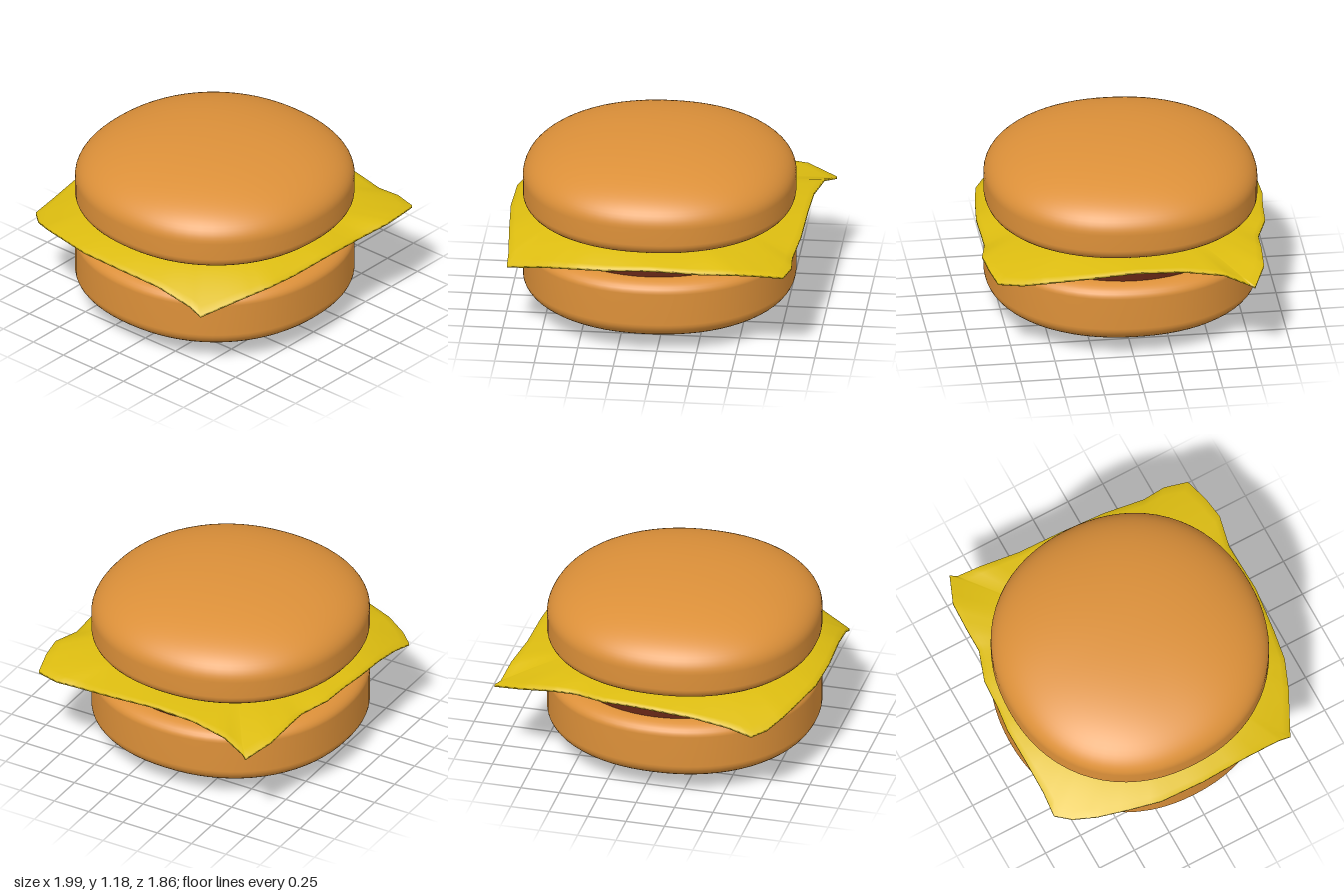
import * as THREE from 'three';
import { mergeVertices } from 'three/addons/utils/BufferGeometryUtils.js';

const CX = -0.06, CZ = -0.02; // common axis of buns and patty
const RADIUS = 0.86;

const paint = (color, side = THREE.FrontSide) => {
  const m = new THREE.MeshStandardMaterial({ side });
  m.color.set(color);
  return m;
};

// Quarter superellipse from angle a0 to a1 around (cx, cy)
function arc(cx, cy, rx, ry, a0, a1, n, power = 2) {
  const pts = [];
  for (let i = 0; i <= n; i++) {
    const a = a0 + (a1 - a0) * i / n, c = Math.cos(a), s = Math.sin(a);
    pts.push(new THREE.Vector2(
      Math.max(0, cx + rx * Math.pow(Math.abs(c), 2 / power)),
      cy + ry * Math.sign(s) * Math.pow(Math.abs(s), 2 / power)));
  }
  return pts;
}

// Revolved bun, pushed slightly towards a rounded square
function bun(name, profile) {
  let geo = new THREE.LatheGeometry(profile, 72);
  const p = geo.attributes.position, n = 2.15;
  for (let i = 0; i < p.count; i++) {
    const x = p.getX(i), z = p.getZ(i), r = Math.hypot(x, z);
    if (r < 1e-5) continue;
    const k = Math.pow(Math.abs(x / r) ** n + Math.abs(z / r) ** n, -1 / n);
    p.setX(i, x * k);
    p.setZ(i, z * k);
  }
  geo.deleteAttribute('uv');
  geo.deleteAttribute('normal');
  geo = mergeVertices(geo);
  geo.computeVertexNormals();
  const mesh = new THREE.Mesh(geo, paint(0xdc9039));
  mesh.name = name;
  mesh.position.set(CX, 0, CZ);
  return mesh;
}

// Cheese rim: x, z and height of the edge, once around
const RIM = [
  [-0.73, -0.93, 0.55], [-0.57, -0.92, 0.59], [-0.35, -0.925, 0.63], [-0.12, -0.93, 0.65],
  [0.05, -0.91, 0.65], [0.24, -0.9, 0.65], [0.44, -0.83, 0.64], [0.6, -0.83, 0.64],
  [0.8, -0.82, 0.62], [0.99, -0.74, 0.57], [0.96, -0.7, 0.58], [0.93, -0.55, 0.64],
  [0.89, -0.3, 0.66], [0.88, 0, 0.665], [0.87, 0.3, 0.64], [0.84, 0.57, 0.61],
  [0.85, 0.72, 0.61], [0.81, 0.87, 0.61], [0.65, 0.91, 0.635], [0.5, 0.93, 0.645],
  [0.3, 0.89, 0.62], [-0.03, 0.9, 0.635], [-0.32, 0.87, 0.61], [-0.52, 0.84, 0.6],
  [-0.7, 0.77, 0.57], [-0.96, 0.64, 0.5], [-0.96, 0.55, 0.54], [-0.98, 0.3, 0.6],
  [-1, 0, 0.62], [-0.99, -0.3, 0.62], [-0.94, -0.5, 0.61], [-0.88, -0.7, 0.59], [-0.81, -0.84, 0.56],
];

// Thin slice: level over the patty, sagging from the patty's edge to the rim
function cheeseSlice() {
  const TOP = 0.685, THICK = 0.016, RINGS = 8, DIV = 3;
  const rim = [];
  RIM.forEach((a, i) => {
    const b = RIM[(i + 1) % RIM.length];
    for (let k = 0; k < DIV; k++) rim.push(a.map((v, j) => v + (b[j] - v) * k / DIV));
  });
  const n = rim.length, pos = [], index = [];
  // rows: top centre, top rings outwards, bottom rings inwards, bottom centre
  const addRing = (u, drop) => {
    for (const [x, z, y] of rim) {
      const dx = x - CX, dz = z - CZ, len = Math.hypot(dx, dz);
      const start = Math.min(0.72 / len, 0.95);
      const t = u === 0 ? 0 : start + (1 - start) * (u - 1) / (RINGS - 1);
      const sag = u === 0 ? 0 : Math.pow((u - 1) / (RINGS - 1), 1.35);
      pos.push(CX + dx * t, TOP - (TOP - y) * sag - drop, CZ + dz * t);
    }
  };
  for (let u = 0; u <= RINGS; u++) addRing(u, 0);
  for (let u = RINGS; u >= 0; u--) addRing(u, THICK);
  for (let r = 0; r < 2 * RINGS + 1; r++) {
    for (let i = 0; i < n; i++) {
      const j = (i + 1) % n, a = r * n + i, b = r * n + j, c = a + n, d = b + n;
      if (r > 0) index.push(a, b, c);
      if (r < 2 * RINGS) index.push(b, d, c);
    }
  }
  // the rim runs clockwise seen from below, so turn the faces outwards
  for (let i = 0; i < index.length; i += 3) [index[i + 1], index[i + 2]] = [index[i + 2], index[i + 1]];
  const geo = new THREE.BufferGeometry();
  geo.setAttribute('position', new THREE.Float32BufferAttribute(pos, 3));
  geo.setIndex(index);
  geo.computeVertexNormals();
  const mesh = new THREE.Mesh(geo, paint(0xdcbc10, THREE.DoubleSide));
  mesh.name = 'cheeseSlice';
  return mesh;
}

export function createModel() {
  const group = new THREE.Group();
  group.name = 'cheeseburger';
  const Q = Math.PI / 2;

  // Bottom bun: shallow bowl below, small rounding above
  group.add(bun('bottomBun', [
    ...arc(0, 0.22, RADIUS, 0.22, -Q, 0, 20, 2.1),
    ...arc(RADIUS - 0.13, 0.43, 0.13, 0.08, 0, Q, 8),
    new THREE.Vector2(0.4, 0.51), new THREE.Vector2(0, 0.51),
  ]));

  // Top bun: small rounding below, tall dome above
  group.add(bun('topBun', [
    new THREE.Vector2(0, 0.68), new THREE.Vector2(0.4, 0.68),
    ...arc(RADIUS - 0.13, 0.77, 0.13, 0.09, -Q, 0, 8),
    ...arc(0, 0.88, RADIUS, 0.3, 0, Q, 24, 2.1),
  ]));

  // Patty
  const patty = new THREE.Mesh(new THREE.CylinderGeometry(0.76, 0.76, 0.16, 64), paint(0x652615));
  patty.name = 'patty';
  patty.position.set(CX, 0.588, CZ);
  group.add(patty);

  group.add(cheeseSlice());
  return group;
}
